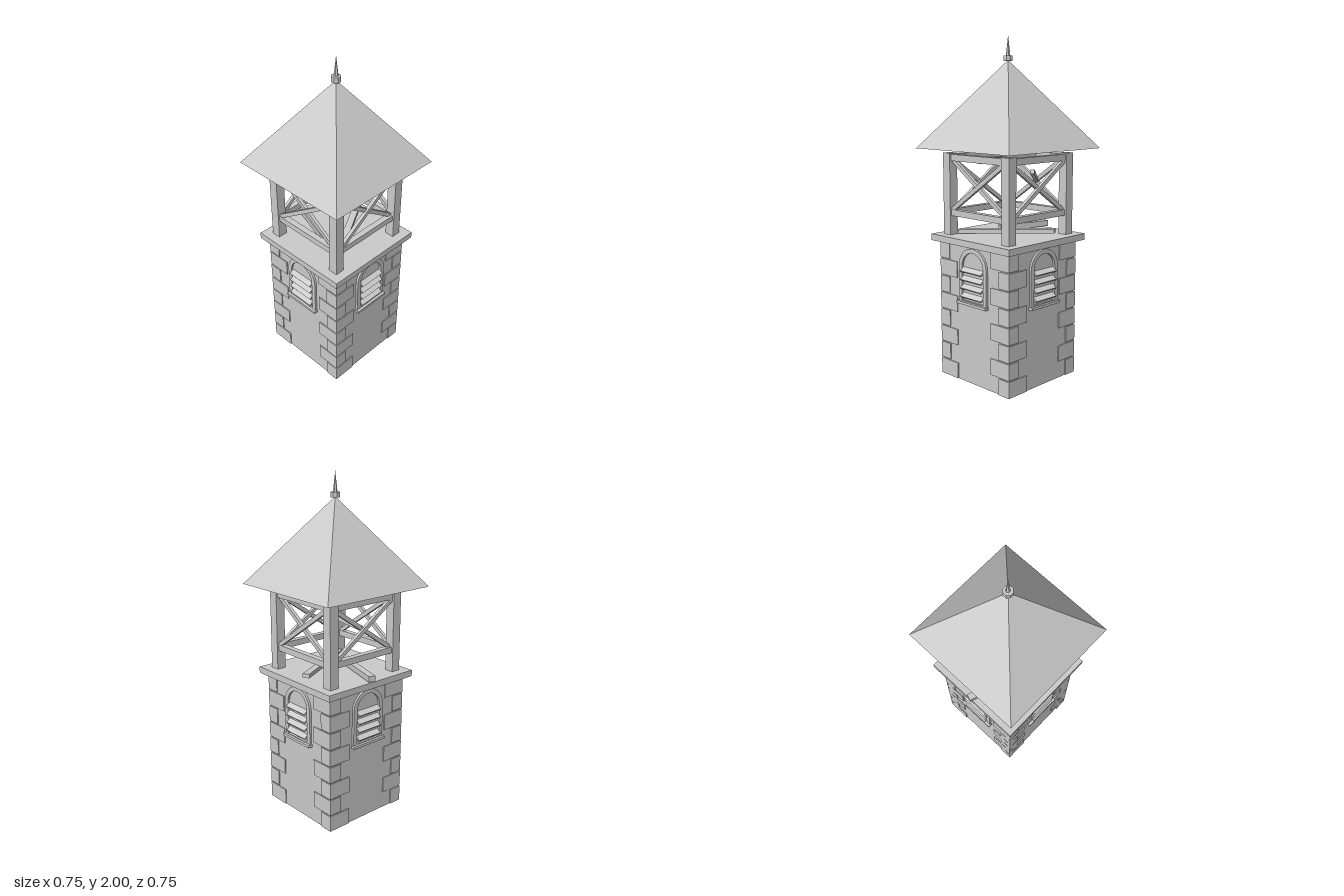
import * as THREE from 'three';

const mat = new THREE.MeshStandardMaterial({ color: 0xcccccc, flatShading: true });

function add(parent, name, geometry, x = 0, y = 0, z = 0) {
  const mesh = new THREE.Mesh(geometry, mat);
  mesh.name = name;
  mesh.position.set(x, y, z);
  parent.add(mesh);
  return mesh;
}

function box(parent, name, w, h, d, x, y, z) {
  return add(parent, name, new THREE.BoxGeometry(w, h, d), x, y, z);
}

// Timber running from point a to point b
function beam(parent, name, a, b, width, height) {
  const from = new THREE.Vector3(...a), to = new THREE.Vector3(...b);
  const mid = from.clone().add(to).multiplyScalar(0.5);
  const mesh = box(parent, name, width, height, from.distanceTo(to), mid.x, mid.y, mid.z);
  mesh.lookAt(to);
  return mesh;
}

// Round-topped outline used by the window surround
function arch(PathType, radius, bottom, spring) {
  const p = new PathType();
  p.moveTo(-radius, bottom);
  p.lineTo(radius, bottom);
  p.lineTo(radius, spring);
  p.absarc(0, spring, radius, 0, Math.PI, false);
  p.lineTo(-radius, bottom);
  return p;
}

// Arched surround, sill and four slanted louvres
function louvreWindow() {
  const g = new THREE.Group();
  g.name = 'louvreWindow';
  const shape = arch(THREE.Shape, 0.113, 0.485, 0.695);
  shape.holes.push(arch(THREE.Path, 0.087, 0.495, 0.695));
  add(g, 'windowSurround',
    new THREE.ExtrudeGeometry(shape, { depth: 0.02, bevelEnabled: false, curveSegments: 10 }), 0, 0, 0.27);
  box(g, 'windowSill', 0.238, 0.016, 0.035, 0, 0.482, 0.288);
  for (let i = 0; i < 4; i++) {
    const louvre = box(g, 'louvre', 0.168, 0.01, 0.034, 0, 0.527 + i * 0.05, 0.29);
    louvre.rotation.x = 0.6;
  }
  return g;
}

// Corner stones alternating long and short
function quoins() {
  const g = new THREE.Group();
  g.name = 'cornerStones';
  const outer = 0.283, rows = 8, step = 0.82 / rows;
  for (let i = 0; i < rows; i++) {
    const w = i % 2 ? 0.145 : 0.08, d = i % 2 ? 0.08 : 0.145;
    box(g, 'cornerStone', w, step - 0.007, d, outer - w / 2, (step - 0.007) / 2 + i * step, outer - d / 2);
  }
  return g;
}

// Post, rails and crossed braces for one side of the belfry
function belfrySide() {
  const g = new THREE.Group();
  g.name = 'belfrySide';
  const p = 0.238;
  box(g, 'post', 0.057, 0.478, 0.057, p, 1.096, p);
  box(g, 'topRail', 0.42, 0.038, 0.036, 0, 1.309, p);
  box(g, 'bottomRail', 0.42, 0.036, 0.036, 0, 0.988, p);
  for (const s of [-1, 1]) {
    const z = p + s * 0.006;
    beam(g, 'brace', [-0.215 * s, 1.0, z], [0.215 * s, 1.295, z], 0.02, 0.024);
  }
  return g;
}

export function createModel() {
  const model = new THREE.Group();
  model.name = 'bellTower';

  // Masonry shaft and cornice slab
  box(model, 'towerShaft', 0.554, 0.82, 0.554, 0, 0.41, 0);
  box(model, 'corniceSlab', 0.64, 0.038, 0.64, 0, 0.838, 0);

  // Four matching sides
  for (let k = 0; k < 4; k++) {
    const side = new THREE.Group();
    side.name = 'towerSide';
    side.add(louvreWindow(), quoins(), belfrySide());
    side.rotation.y = k * Math.PI / 2;
    model.add(side);
  }

  // Bell beam under the roof and a loose broken brace
  box(model, 'bellBeam', 0.036, 0.034, 0.44, 0, 1.3, 0);
  beam(model, 'brokenBrace', [0.01, 1.155, -0.235], [0.11, 1.225, -0.09], 0.022, 0.026);

  // Fallen timbers lying on the slab
  beam(model, 'fallenBeam', [-0.21, 0.873, 0.2], [0.29, 0.9, -0.085], 0.04, 0.024);
  beam(model, 'fallenBeam', [-0.09, 0.877, -0.02], [0.012, 0.882, -0.328], 0.04, 0.034);

  // Pyramid roof
  const roof = new THREE.ConeGeometry(0.377 * Math.SQRT2, 0.5, 4);
  roof.rotateY(Math.PI / 4);
  add(model, 'roof', roof, 0, 1.61, 0);

  // Finial
  const collar = new THREE.CylinderGeometry(0.028, 0.028, 0.03, 8);
  collar.rotateY(Math.PI / 8);
  add(model, 'finialCollar', collar, 0, 1.87, 0);
  add(model, 'finialSpike', new THREE.ConeGeometry(0.014, 0.125, 6), 0, 1.9375, 0);

  return model;
}
